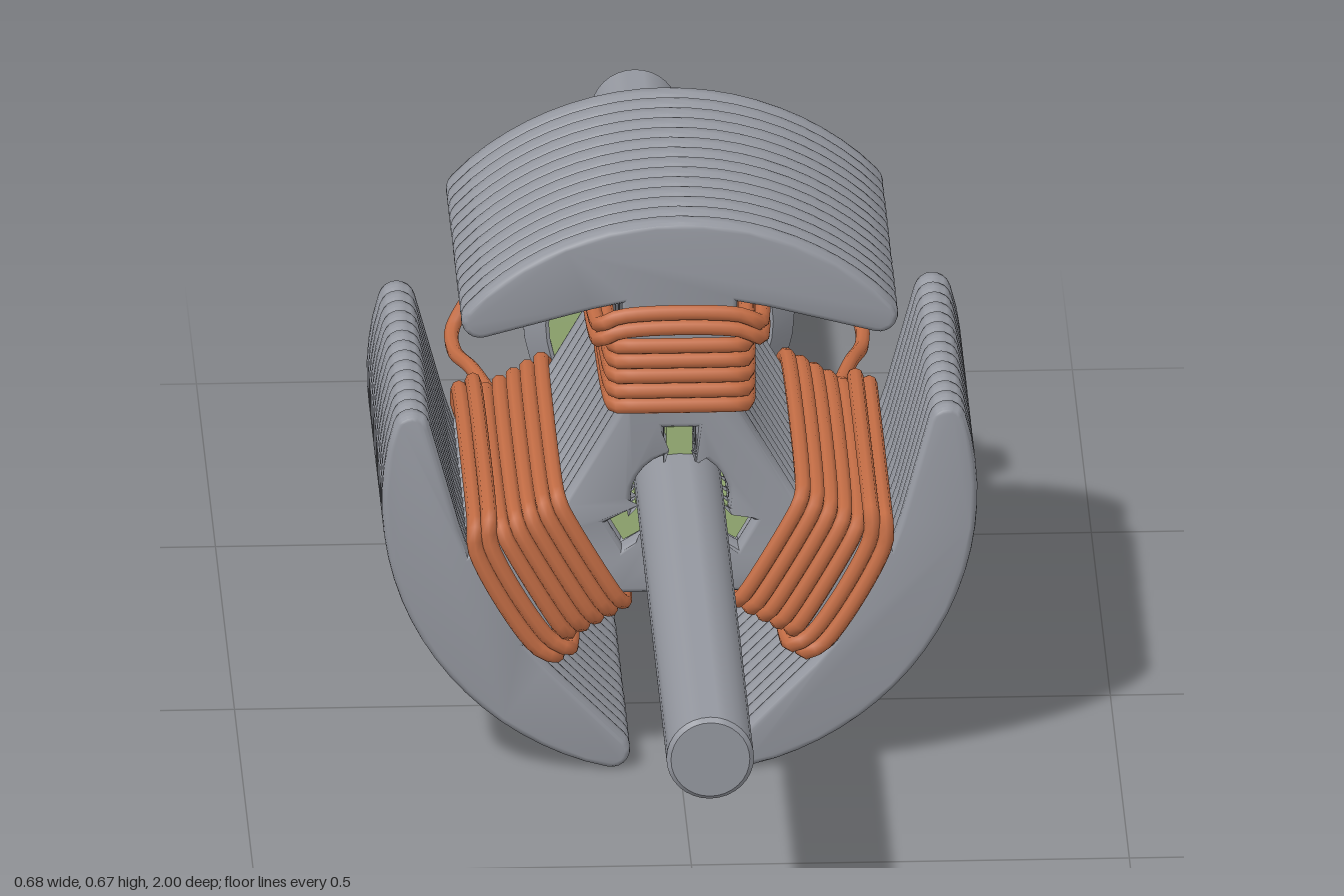
import * as THREE from 'three';
import { mergeGeometries, toCreasedNormals } from 'three/addons/utils/BufferGeometryUtils.js';

const mat = (name, color) => new THREE.MeshStandardMaterial({ name, color });
const V2 = (x, y) => new THREE.Vector2(x, y);
const V3 = (x, y, z) => new THREE.Vector3(x, y, z);
const polar = (r, a) => V2(r * Math.cos(a), r * Math.sin(a));
const THIRD = Math.PI * 2 / 3;

export function createModel() {
  const steel = mat('steel', 0x94979f);
  const copper = mat('copper', 0xc36d45);
  const green = mat('green insulator', 0x9db57a);
  const black = mat('black contact', 0x1f2020);

  const model = new THREE.Group();
  model.name = 'motorArmature';
  const rotor = new THREE.Group();
  rotor.name = 'rotor';
  rotor.position.y = 0.333;
  model.add(rotor);

  const add = (parent, name, geometry, material) => {
    const mesh = new THREE.Mesh(geometry, material);
    mesh.name = name;
    parent.add(mesh);
    return mesh;
  };
  // solid of revolution about z, from [radius, z] pairs with rising z
  const turned = (pairs, sides = 32) => toCreasedNormals(
    new THREE.LatheGeometry(pairs.map(p => V2(...p)), sides).rotateX(Math.PI / 2), 0.6);
  // repeat a function three times around the shaft
  const three = (name, build) => {
    for (let k = 0; k < 3; k++) {
      const g = new THREE.Group();
      g.name = name + (k + 1);
      g.rotation.z = k * THIRD;
      rotor.add(g);
      build(g);
    }
  };

  // shaft with slightly chamfered ends
  add(rotor, 'shaft', turned([[0, -1], [0.045, -1], [0.05, -0.995], [0.05, 0.995], [0.045, 1], [0, 1]]), steel);

  // outline of one pole: neck, underside, rounded tip, outer arc
  const half = [V2(0.066, 0.116), V2(0.066, 0.24), V2(0.1, 0.233)];
  const tip = V2(0.228, 0.2215), tipAngle = Math.atan2(tip.y, tip.x);
  for (let i = 0; i <= 8; i++) {
    half.push(polar(0.0215, THREE.MathUtils.lerp(-1.83, tipAngle, i / 8)).add(tip));
  }
  for (let i = 1; i <= 10; i++) {
    half.push(polar(0.34, THREE.MathUtils.lerp(tipAngle, Math.PI / 2, i / 10)));
  }
  const pole = [...half, ...half.slice(0, -1).reverse().map(p => V2(-p.x, p.y))];
  // bore sector with a keyway
  const bore = [];
  for (let i = 0; i <= 3; i++) bore.push(polar(0.056, Math.PI / 2 - THIRD / 2 + i * 0.24));
  bore.push(V2(0.018, 0.053), V2(0.018, 0.087), V2(-0.018, 0.087), V2(-0.018, 0.053));
  for (let i = 3; i > 0; i--) bore.push(polar(0.056, Math.PI / 2 + THIRD / 2 - i * 0.24));

  const ring = pts => [0, 1, 2].flatMap(k => pts.map(p => p.clone().rotateAround(V2(0, 0), k * THIRD)));
  const plate = new THREE.Shape(ring(pole));
  plate.holes.push(new THREE.Path(ring(bore)));

  // stacked laminations with rounded rims
  const count = 14, z0 = -0.222, pitch = 0.424 / count;
  const sheet = toCreasedNormals(new THREE.ExtrudeGeometry(plate, {
    depth: pitch - 0.02, bevelThickness: 0.01, bevelSize: 0.007, bevelOffset: -0.007, bevelSegments: 3,
  }), 0.7);
  const sheets = [];
  for (let i = 0; i < count; i++) sheets.push(sheet.clone().translate(0, 0, z0 + 0.01 + i * pitch));
  add(rotor, 'laminatedCore', mergeGeometries(sheets), steel);

  // insulating sleeve, running under the contacts to a rear collar
  add(rotor, 'insulatingSleeve', turned([
    [0.05, -0.645], [0.097, -0.645], [0.1, -0.64], [0.1, -0.632], [0.092, -0.63], [0.092, -0.44],
    [0.112, -0.42], [0.112, -0.37], [0.13, -0.36], [0.13, -0.346], [0.09, -0.345], [0.09, -0.215], [0.05, -0.215],
  ]), green);
  // conical flange
  add(rotor, 'flange', turned([
    [0.11, -0.378], [0.15, -0.378], [0.155, -0.37], [0.155, -0.364], [0.13, -0.34], [0.126, -0.342], [0.126, -0.348],
  ], 40), steel);

  // contact segment
  const a = Math.PI / 3 - 0.07;
  const arc = new THREE.Shape();
  arc.absarc(0, 0, 0.107, -Math.PI / 2 - a, -Math.PI / 2 + a, false);
  arc.absarc(0, 0, 0.09, -Math.PI / 2 + a, -Math.PI / 2 - a, true);
  const segment = toCreasedNormals(new THREE.ExtrudeGeometry(arc, {
    depth: 0.245, bevelEnabled: false, curveSegments: 14,
  }), 0.6).translate(0, 0, -0.63);

  // hooked terminal strip, drawn as a thick line of (radius, z)
  const spine = new THREE.CatmullRomCurve3([
    [0.098, -0.475], [0.14, -0.474], [0.185, -0.47], [0.206, -0.456], [0.208, -0.438], [0.192, -0.426], [0.157, -0.424],
  ].map(([r, z]) => V3(r, z, 0))).getPoints(20);
  const outer = [], inner = [];
  spine.forEach((p, i) => {
    const d = spine[Math.min(i + 1, 20)].clone().sub(spine[Math.max(i - 1, 0)]).normalize();
    outer.push(V2(p.x + d.y * 0.005, p.y - d.x * 0.005));
    inner.push(V2(p.x - d.y * 0.005, p.y + d.x * 0.005));
  });
  const hook = toCreasedNormals(new THREE.ExtrudeGeometry(new THREE.Shape([...outer, ...inner.reverse()]), {
    depth: 0.064, bevelEnabled: false,
  }), 0.6).translate(0, 0, -0.032);
  // turn (radius, z, width) into (-y, z, x)
  hook.applyMatrix4(new THREE.Matrix4().makeBasis(V3(0, -1, 0), V3(0, 0, 1), V3(-1, 0, 0)));

  three('contact', g => {
    add(g, 'contactSegment', segment, black);
    add(g, 'terminalHook', hook, black);
    add(g, 'terminalRoot', new THREE.BoxGeometry(0.064, 0.03, 0.06).translate(0, -0.107, -0.45), black);
    // key in the bore and insulating fin behind the flange
    add(g, 'key', new THREE.BoxGeometry(0.03, 0.034, 0.4).translate(0, 0.066, -0.015), green);
    add(g, 'fin', new THREE.BoxGeometry(0.05, 0.055, 0.04).translate(0, 0.122, -0.395), green);
  });

  // winding: closed turns stacked along each pole, the outer ones wider
  const turns = [];
  for (let i = 0; i < 7; i++) {
    const wide = i > 4;
    const w = wide ? 0.094 : 0.077, drop = wide ? 0.014 : 0.002, y = 0.12 + i * 0.0183;
    const c = w - (wide ? 0.026 : 0.014);
    const path = [
      [c, y, 0.211], [w - 0.004, y - drop * 0.8, 0.206], [w, y - drop, 0.19],
      [w, y - drop, -0.21], [w - 0.004, y - drop * 0.8, -0.226], [c, y, -0.231],
    ];
    const mirrored = path.map(([x, py, z]) => [-x, py, z]).reverse();
    const curve = new THREE.CatmullRomCurve3([...path, ...mirrored].map(p => V3(...p)), true);
    turns.push(new THREE.TubeGeometry(curve, 96, 0.0094, 8, true));
  }
  const winding = mergeGeometries(turns);

  three('coil', g => {
    add(g, 'winding', winding, copper);
    // leads curving from the back of the coil into the neighbouring hooks
    for (const s of [-1, 1]) {
      const lead = new THREE.CatmullRomCurve3([
        [0.07, 0.19, -0.225], [0.078, 0.205, -0.3], [0.078, 0.224, -0.38], [0.086, 0.218, -0.428],
        [0.115, 0.162, -0.446], [0.145, 0.118, -0.447], [0.162, 0.091, -0.447],
      ].map(([x, y, z]) => V3(s * x, y, z)));
      add(g, s > 0 ? 'leftLead' : 'rightLead', new THREE.TubeGeometry(lead, 40, 0.0085, 8), copper);
    }
  });

  return model;
}
